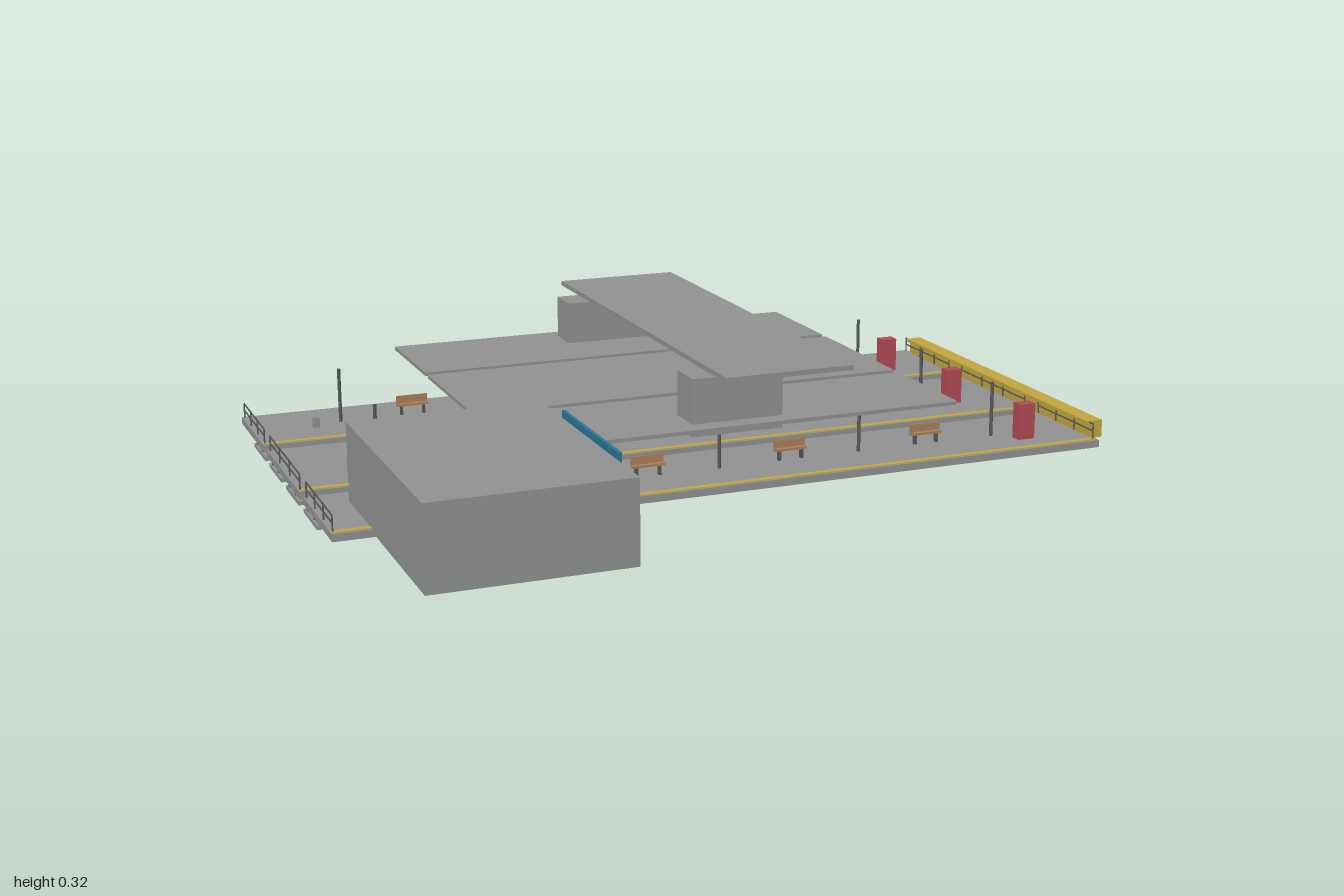
import * as THREE from 'three';

const mat = (name, color) => {
  const m = new THREE.MeshStandardMaterial({ color });
  m.name = name;
  return m;
};

export function createModel() {
  const root = new THREE.Group();
  root.name = 'railwayStation';
  const concrete = mat('concrete', 0x8f9190);
  const steel = mat('darkSteel', 0x55595c);
  const yellow = mat('yellow', 0xc0a53f);
  const red = mat('red', 0xb04a54);
  const wood = mat('wood', 0xa97f58);
  const blue = mat('signBlue', 0x2b7490);
  const glass = mat('glass', 0x47687c);

  // Box given by its lower and upper corners
  const box = (name, m, x0, x1, y0, y1, z0, z1, parent = root) => {
    const mesh = new THREE.Mesh(new THREE.BoxGeometry(x1 - x0, y1 - y0, z1 - z0), m);
    mesh.position.set((x0 + x1) / 2, (y0 + y1) / 2, (z0 + z1) / 2);
    mesh.name = name;
    parent.add(mesh);
    return mesh;
  };
  const post = (name, m, x, z, y0, y1, r, parent = root) => {
    const mesh = new THREE.Mesh(new THREE.CylinderGeometry(r, r, y1 - y0, 8), m);
    mesh.position.set(x, (y0 + y1) / 2, z);
    mesh.name = name;
    parent.add(mesh);
  };

  // Track beds with sleepers and rails
  for (const z of [0.11, -0.087, -0.285, -0.48]) {
    const track = new THREE.Group();
    track.name = 'track';
    root.add(track);
    box('trackBed', concrete, -1, 0.97, 0, 0.01, z - 0.07, z + 0.07, track);
    for (let i = 0; i < 21; i++) {
      const x = -0.96 + i * 0.0945;
      box('sleeper', steel, x - 0.008, x + 0.008, 0.01, 0.015, z - 0.053, z + 0.053, track);
    }
    for (const s of [-1, 1])
      box('rail', steel, -1, 0.97, 0.015, 0.02, z + s * 0.035 - 0.004, z + s * 0.035 + 0.004, track);
  }

  // Railing across a platform end
  const railing = (x, z0, z1, parent) => {
    const g = new THREE.Group();
    g.name = 'endRailing';
    parent.add(g);
    for (let i = 0; i < 4; i++)
      post('railingPost', steel, x, z0 + (z1 - z0) * i / 3, 0.04, 0.08, 0.002, g);
    for (const y of [0.06, 0.078])
      box('handrail', steel, x - 0.0015, x + 0.0015, y - 0.0015, y + 0.0015, z0, z1, g);
  };

  // Wooden bench on two steel legs
  const bench = (x, z, parent) => {
    const g = new THREE.Group();
    g.name = 'bench';
    parent.add(g);
    box('benchSeat', wood, x - 0.042, x + 0.042, 0.064, 0.07, z - 0.008, z + 0.008, g);
    box('benchBack', wood, x - 0.042, x + 0.042, 0.07, 0.09, z - 0.008, z - 0.004, g);
    for (const s of [-1, 1])
      box('benchLeg', steel, x + s * 0.03 - 0.003, x + s * 0.03 + 0.003, 0.04, 0.064, z - 0.006, z + 0.006, g);
  };

  // Three platforms: slab extents, canopy extents, furniture line
  const platforms = [
    { z0: -0.71, z1: -0.418, c0: -0.722, c1: -0.415, mid: -0.57 },
    { z0: -0.375, z1: 0, c0: -0.39, c1: 0.015, mid: -0.188 },
    { z0: 0.04, z1: 0.335, c0: 0.04, c1: 0.35, mid: 0.192 },
  ];
  for (const { z0, z1, c0, c1, mid } of platforms) {
    const g = new THREE.Group();
    g.name = 'platform';
    root.add(g);
    box('platformSlab', concrete, -1, 0.973, 0.02, 0.038, z0, z1, g);
    box('safetyStripe', yellow, -1, 0.973, 0.038, 0.0395, z1 - 0.024, z1 - 0.008, g);
    for (const x of [-0.995, 0.963]) railing(x, z0 + 0.015, z1 - 0.015, g);
    box('canopy', concrete, -0.578, 0.55, 0.179, 0.188, c0, c1, g);
    for (let i = 0; i < 5; i++)
      post('column', steel, -0.768 + i * 0.377, mid, 0.038, 0.18, 0.0045, g);
    for (let i = 0; i < 4; i++) bench(-0.575 + i * 0.375, mid + 0.002, g);
    for (const x of [-0.25, 0.086, 0.46])
      box('canopyLight', steel, x - 0.037, x + 0.037, 0.173, 0.179, mid - 0.01, mid + 0.01, g);
    // Hanging signs
    for (const x of [-0.295, 0.27]) {
      box('hangingSign', blue, x - 0.05, x + 0.05, 0.143, 0.168, mid - 0.008, mid + 0.008, g);
      box('signPanel', glass, x - 0.045, x + 0.045, 0.152, 0.165, mid - 0.009, mid + 0.009, g);
      for (const s of [-1, 1])
        box('signHanger', steel, x + s * 0.035 - 0.002, x + s * 0.035 + 0.002, 0.168, 0.18, mid - 0.002, mid + 0.002, g);
    }
    // Vending machine and litter bin
    const v = mid + 0.048;
    box('vendingMachine', red, 0.785, 0.83, 0.038, 0.13, v - 0.016, v + 0.016, g);
    box('vendingWindow', glass, 0.79, 0.825, 0.058, 0.122, v - 0.019, v - 0.015, g);
    box('litterBin', concrete, -0.847, -0.831, 0.038, 0.064, mid + 0.02, mid + 0.036, g);
  }

  // Yellow barrier beam at the track ends
  box('barrierBeam', yellow, 0.967, 1, 0.036, 0.08, -0.678, 0.303);
  box('barrierCap', yellow, 0.955, 1, 0.074, 0.081, -0.678, 0.303);

  // Station building with glazed side and sign
  box('stationBuilding', concrete, -0.908, -0.438, 0.03, 0.228, 0.11, 0.768);
  box('entranceGlass', glass, -0.438, -0.431, 0.085, 0.18, 0.255, 0.63);
  box('buildingSign', blue, -0.435, -0.427, 0.212, 0.243, 0.255, 0.63);

  // Crossing roof over the platforms with a stair housing at each end
  box('bridgeRoof', concrete, -0.085, 0.242, 0.308, 0.32, -0.77, 0.4);
  box('frontStairHousing', concrete, -0.13, 0.103, 0.157, 0.298, 0.21, 0.303);
  box('rearStairHousing', concrete, -0.13, 0.103, 0.157, 0.298, -0.675, -0.58);

  return root;
}
